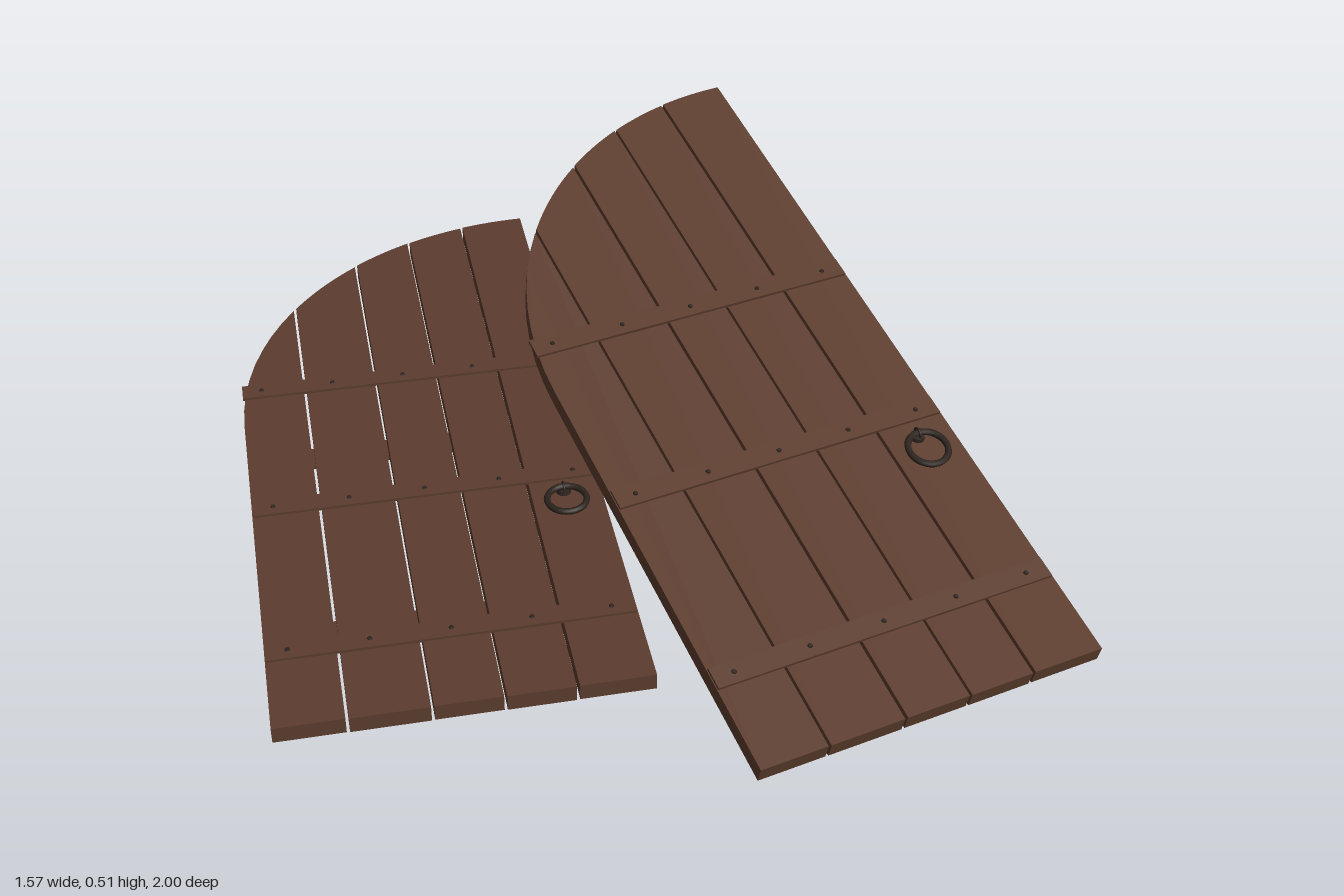
import * as THREE from 'three';

const WIDTH = 0.735;      // leaf width, also the radius of the arched end
const SPRING = 0.935;     // length of the straight side below the arch
const THICK = 0.036;

const wood = new THREE.MeshStandardMaterial({ color: 0x5c3d2e });
wood.name = 'brown wood';
const iron = new THREE.MeshStandardMaterial({ color: 0x2c231d });
iron.name = 'dark iron';

function addMesh(group, name, geometry, material, x = 0, y = 0, z = 0) {
  const mesh = new THREE.Mesh(geometry, material);
  mesh.name = name;
  mesh.position.set(x, y, z);
  group.add(mesh);
  return mesh;
}

// One plank between x0 and x1, its far end cut to the arch
function plankGeometry(x0, x1) {
  const shape = new THREE.Shape();
  shape.moveTo(x0, 0);
  shape.lineTo(x1, 0);
  const a0 = Math.acos(Math.max(-1, x1 / WIDTH));
  const a1 = Math.acos(Math.max(-1, x0 / WIDTH));
  const steps = 8;
  for (let i = 0; i <= steps; i++) {
    const a = a0 + (a1 - a0) * i / steps;
    shape.lineTo(WIDTH * Math.cos(a), SPRING + WIDTH * Math.sin(a));
  }
  shape.closePath();
  const geometry = new THREE.ExtrudeGeometry(shape, { depth: THICK, bevelEnabled: false });
  return geometry.rotateX(-Math.PI / 2);
}

// A leaf lying flat; origin at the lower corner of its straight meeting edge
function createLeaf(name) {
  const leaf = new THREE.Group();
  leaf.name = name;

  // Planks with narrow open gaps
  const planks = [[-0.735, -0.596], [-0.59, -0.435], [-0.429, -0.296], [-0.29, -0.156], [-0.15, 0]];
  planks.forEach(([x0, x1], i) => {
    addMesh(leaf, `plank${i + 1}`, plankGeometry(x0, x1), wood, 0, i % 2 ? -0.001 : 0, 0);
  });

  // Cross straps with rivets on the upper face
  for (const z of [-0.2, -0.637, -1.052]) {
    addMesh(leaf, 'strap', new THREE.BoxGeometry(0.73, 0.007, 0.046), wood, -0.368, THICK + 0.0025, z);
    for (let i = 0; i < 5; i++) {
      addMesh(leaf, 'rivet', new THREE.CylinderGeometry(0.004, 0.006, 0.004, 8), iron,
        -0.69 + i * 0.16, THICK + 0.007, z);
    }
  }

  // Battens on the underside
  for (const z of [-0.275, -0.838]) {
    addMesh(leaf, 'batten', new THREE.BoxGeometry(0.69, 0.008, 0.062), wood, -0.365, -0.003, z);
  }

  // Ring handle with its base plate and staple
  const handle = new THREE.Group();
  handle.name = 'ringHandle';
  handle.position.set(-0.08, THICK, -0.535);
  const ring = addMesh(handle, 'ring', new THREE.TorusGeometry(0.042, 0.007, 8, 28), iron, 0, 0.013, 0);
  ring.rotation.x = Math.PI / 2;
  addMesh(handle, 'ringPlate', new THREE.CylinderGeometry(0.014, 0.016, 0.008, 12), iron, 0, 0.004, -0.04);
  const staple = addMesh(handle, 'staple', new THREE.TorusGeometry(0.011, 0.003, 6, 12, Math.PI),
    iron, 0, 0.01, -0.042);
  staple.rotation.y = Math.PI / 2;
  leaf.add(handle);
  return leaf;
}

export function createModel() {
  const model = new THREE.Group();
  model.name = 'fallenDoors';

  // Leaf lying flat on the ground
  const flat = createLeaf('flatLeaf');
  flat.position.set(-0.05, 0.007, 0.67);
  model.add(flat);

  // Leaf turned and propped up at its arched end
  const tilted = createLeaf('tiltedLeaf');
  tilted.rotation.set(THREE.MathUtils.degToRad(14), THREE.MathUtils.degToRad(13.8), 0, 'YXZ');
  tilted.position.set(0.779, 0.068, 0.815);
  model.add(tilted);
  return model;
}
